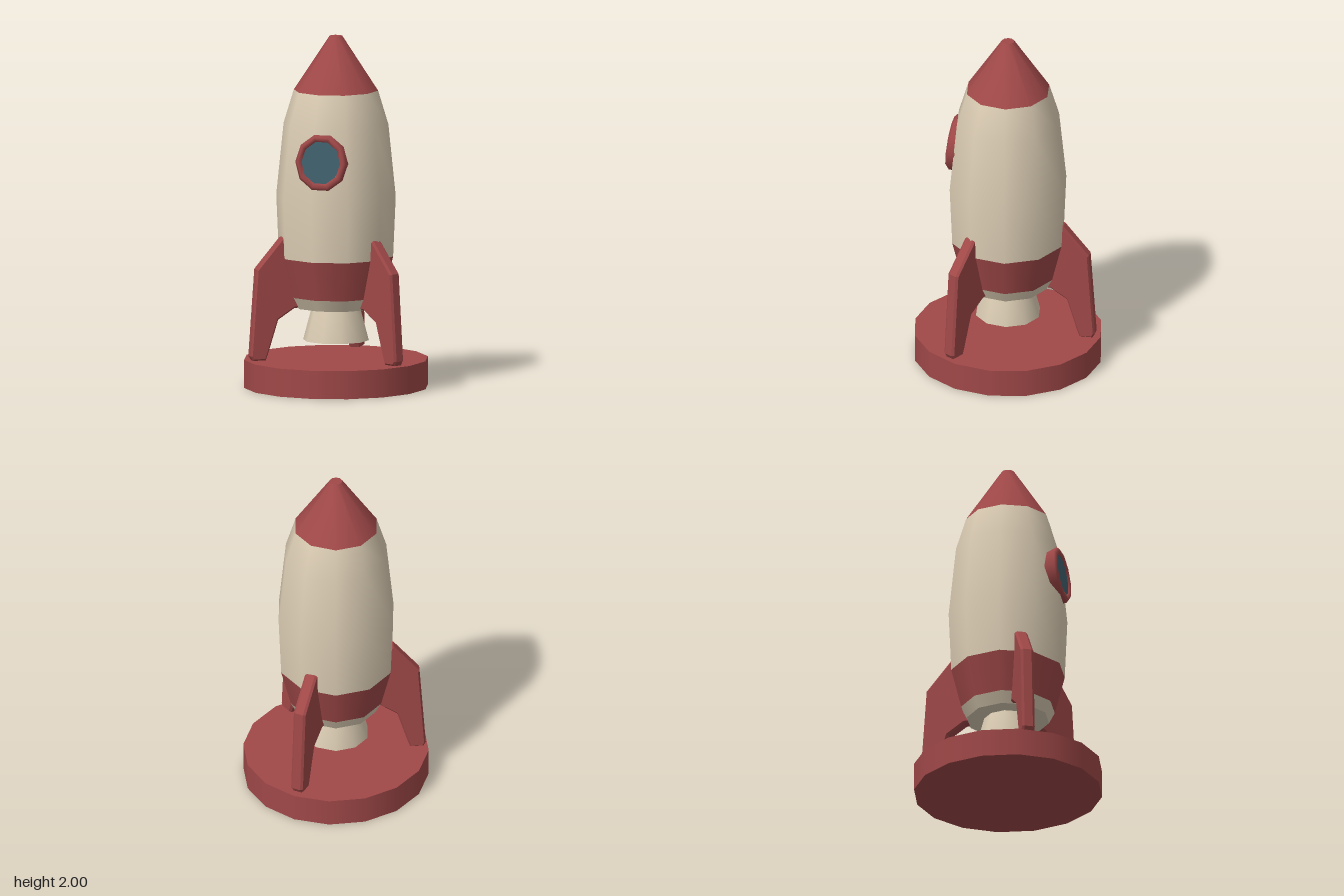
import * as THREE from 'three';

const SIDES = 10;
const TURN = THREE.MathUtils.degToRad(26); // corner rotation of the ten-sided hull

export function createModel() {
  const red = new THREE.MeshStandardMaterial({ color: 0xa04848 });
  red.name = 'brick red';
  const cream = new THREE.MeshStandardMaterial({ color: 0xdccdb4 });
  cream.name = 'warm cream';
  const teal = new THREE.MeshStandardMaterial({ color: 0x40616e });
  teal.name = 'dark teal';

  const model = new THREE.Group();
  model.name = 'rocket';

  const add = (name, geometry, material, parent = model) => {
    const mesh = new THREE.Mesh(geometry, material);
    mesh.name = name;
    parent.add(mesh);
    return mesh;
  };
  const lathe = (points, start = TURN) =>
    new THREE.LatheGeometry(points.map(([r, y]) => new THREE.Vector2(r, y)), SIDES, start);

  // Hull, in coloured bands from bottom to top
  add('hullFloor', lathe([[0, 0.455], [0.235, 0.455]]), cream);
  add('hullBottom', lathe([[0.235, 0.455], [0.268, 0.52]]), cream);
  add('hullBand', lathe([[0.268, 0.52], [0.325, 0.745]]), red);
  add('hull', lathe([[0.325, 0.745], [0.34, 1.09], [0.298, 1.5], [0.24, 1.69]]), cream);
  add('noseCone', lathe([[0.24, 1.69], [0.036, 2]]), red);
  add('noseTip', lathe([[0.036, 2], [0, 2]]), red);

  // Flared engine nozzle, hollow inside
  add('nozzle', lathe([[0.11, 0.46], [0.172, 0.265], [0.187, 0.265], [0.135, 0.46]]), cream);

  // Porthole, tilted to follow the hull
  const porthole = new THREE.Group();
  porthole.name = 'porthole';
  porthole.position.set(-0.004, 1.317, 0.318);
  porthole.rotation.x = -0.1;
  porthole.scale.y = 1.09;
  model.add(porthole);
  const ring = lathe([[0.15, -0.06], [0.15, 0], [0.135, 0.014], [0.114, 0.01], [0.112, -0.01]], 0.3);
  add('portholeRing', ring.rotateX(Math.PI / 2), red, porthole);
  const glass = add('portholeGlass', new THREE.CircleGeometry(0.118, SIDES, 0.3), teal, porthole);
  glass.position.z = 0.003;

  // Three swept fins that also serve as legs
  const outline = [
    [0.22, 0.46], [0.25, 0.458], [0.345, 0.395], [0.405, 0.2], [0.418, 0.165], [0.492, 0.165],
    [0.507, 0.19], [0.472, 0.685], [0.325, 0.86], [0.295, 0.866], [0.25, 0.74],
  ];
  const finGeometry = new THREE.ExtrudeGeometry(
    new THREE.Shape(outline.map(([r, y]) => new THREE.Vector2(r, y))),
    { depth: 0.048, bevelEnabled: true, bevelSegments: 1, bevelThickness: 0.013, bevelSize: 0.01, bevelOffset: -0.01 }
  ).translate(0, 0, -0.024);
  [['backFin', 90], ['leftFin', -30], ['rightFin', 210]].forEach(([name, angle]) => {
    add(name, finGeometry, red).rotation.y = THREE.MathUtils.degToRad(angle);
  });

  // Round stand
  const base = add('base', new THREE.CylinderGeometry(0.535, 0.535, 0.16, 16), red);
  base.position.y = 0.08;
  base.scale.x = 0.977;

  return model;
}
